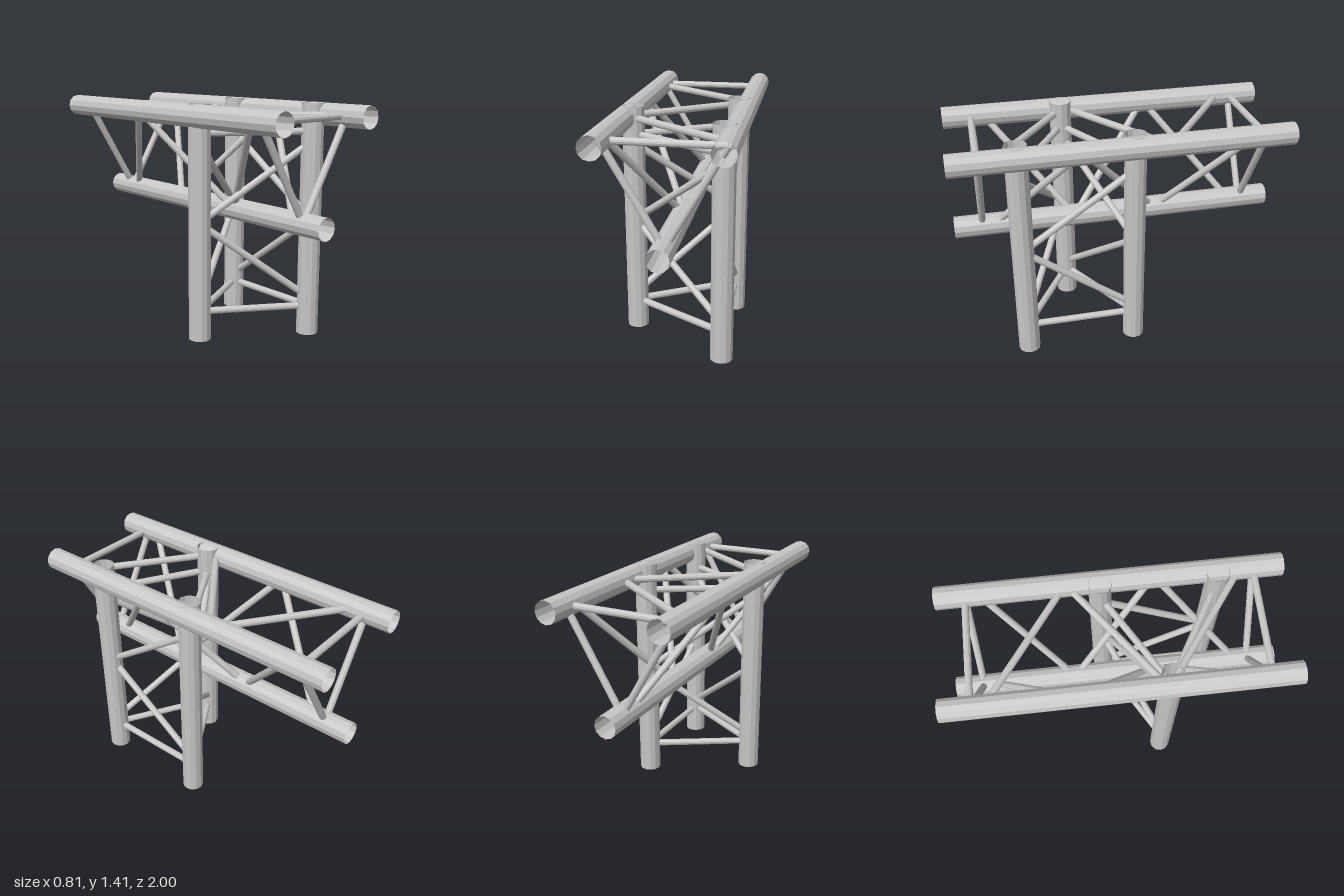
import * as THREE from 'three';

const metal = new THREE.MeshStandardMaterial({ color: 0xc6c6c6, flatShading: true, side: THREE.DoubleSide });
metal.name = 'brushed metal';

const TUBE = 0.067, STRUT = 0.021;

// Open hollow tube between two points
function tube(name, a, b, radius) {
  const from = new THREE.Vector3(...a), to = new THREE.Vector3(...b);
  const dir = to.clone().sub(from);
  const geo = new THREE.CylinderGeometry(radius, radius, dir.length(), 12, 1, true);
  const mesh = new THREE.Mesh(geo, metal);
  mesh.name = name;
  mesh.position.copy(from).add(to).multiplyScalar(0.5);
  mesh.quaternion.setFromUnitVectors(new THREE.Vector3(0, 1, 0), dir.normalize());
  return mesh;
}

// Zigzag of three braces alternating between two main tubes;
// spans lists the [start, end] position of each brace along them
function zigzag(group, name, first, second, spans) {
  spans.forEach(([s, e], i) => {
    const [p, q] = i % 2 ? [second, first] : [first, second];
    group.add(tube(name, p(s), q(e), STRUT));
  });
}

function createBeam() {
  const beam = new THREE.Group();
  beam.name = 'horizontalTruss';
  const right = z => [-0.336, 1.343, z];
  const left = z => [0.336, 1.343, z];
  const lower = z => [0, 0.762, z];

  // Three long chords
  beam.add(tube('rightChord', right(-1), right(1), TUBE));
  beam.add(tube('leftChord', left(-1), left(1), TUBE));
  beam.add(tube('lowerChord', lower(-1), lower(1), TUBE));

  // Triangular end frames
  for (const z of [-0.83, 0.83]) {
    for (const [p, q] of [[right, left], [left, lower], [lower, right]]) {
      beam.add(tube('endFrameStrut', p(z), q(z), STRUT));
    }
  }

  // Diagonal braces on each face
  const spans = [[-0.755, -0.26], [-0.25, 0.25], [0.26, 0.755]];
  zigzag(beam, 'topBrace', right, left, spans);
  zigzag(beam, 'rightBrace', lower, right, spans);
  zigzag(beam, 'leftBrace', left, lower, spans);
  return beam;
}

function createTower() {
  const tower = new THREE.Group();
  tower.name = 'verticalTruss';
  const right = y => [-0.29, y, 0.28];
  const front = y => [0.29, y, 0.618];
  const back = y => [0.29, y, -0.06];

  // Three upright columns
  tower.add(tube('rightColumn', right(0), right(1.41), TUBE));
  tower.add(tube('frontColumn', front(0), front(1.41), TUBE));
  tower.add(tube('backColumn', back(0), back(1.41), TUBE));

  // Level struts; the upper level is open between front and back
  for (const y of [0.172, 1.243]) {
    tower.add(tube('levelStrut', right(y), front(y), STRUT));
    tower.add(tube('levelStrut', right(y), back(y), STRUT));
  }
  tower.add(tube('levelStrut', front(0.172), back(0.172), STRUT));

  // Diagonal braces on each face
  const spans = [[0.225, 0.71], [0.715, 1.185]];
  zigzag(tower, 'frontBrace', front, right, spans);
  zigzag(tower, 'backBrace', right, back, [[0.225, 0.71], [0.715, 1.185]]);
  zigzag(tower, 'sideBrace', back, front, spans);
  return tower;
}

export function createModel() {
  const model = new THREE.Group();
  model.name = 'trussJunction';
  model.add(createBeam(), createTower());
  return model;
}
